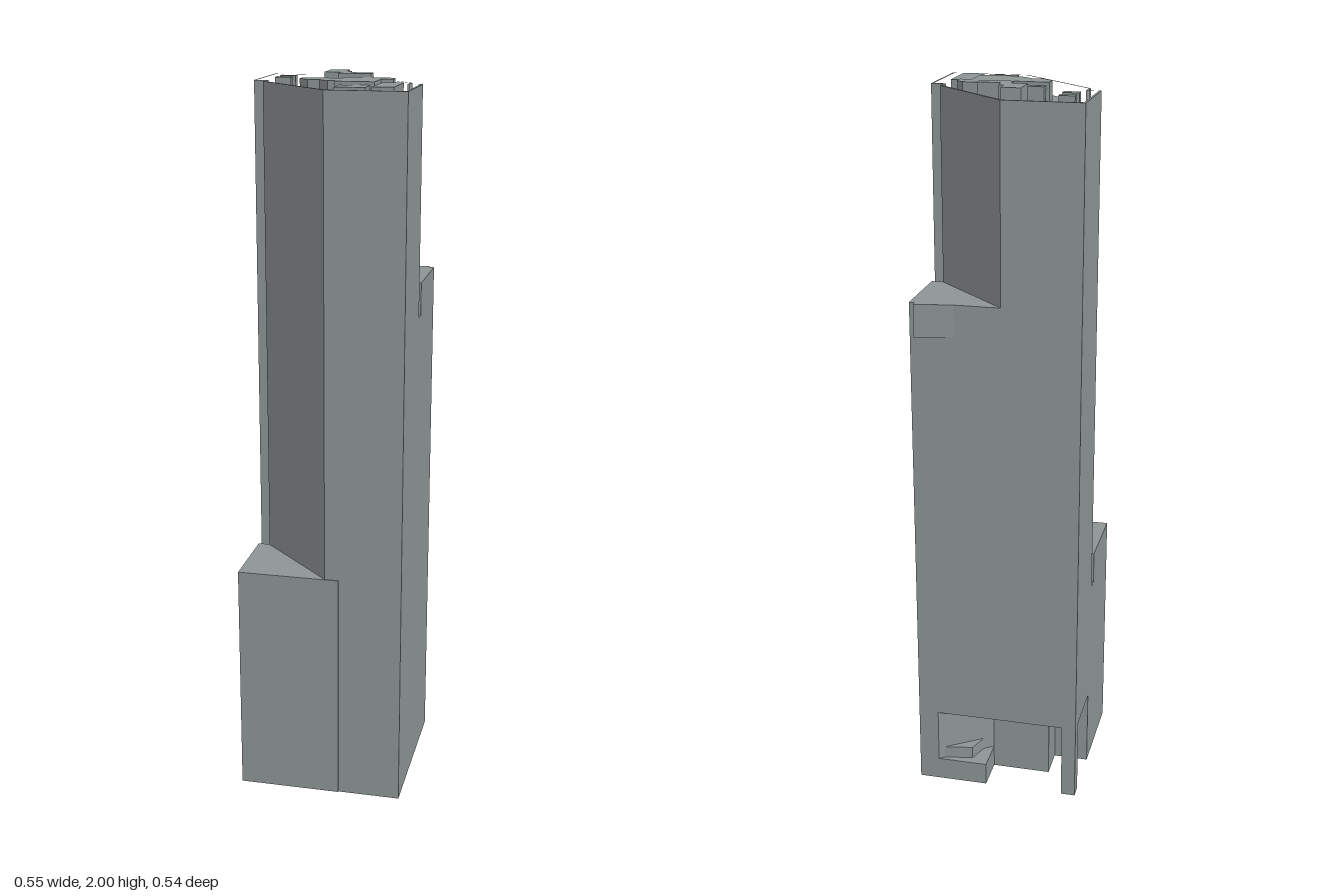
import * as THREE from 'three';

const H = 0.231; // half width of the square plan
const concrete = new THREE.MeshStandardMaterial({ color: 0x8e9595 });
concrete.name = 'grey concrete';

// Vertical prism over a plan outline of [x, z] points
function prism(name, pts, y0, y1, hole) {
  const toV = (p) => p.map(([x, z]) => new THREE.Vector2(x, -z));
  const shape = new THREE.Shape(toV(pts));
  if (hole) shape.holes.push(new THREE.Path(toV(hole)));
  const geo = new THREE.ExtrudeGeometry(shape, { depth: y1 - y0, bevelEnabled: false });
  geo.rotateX(-Math.PI / 2).translate(0, y0, 0);
  const mesh = new THREE.Mesh(geo, concrete);
  mesh.name = name;
  return mesh;
}

const rect = (x0, x1, z0, z1) => [[x0, z0], [x1, z0], [x1, z1], [x0, z1]];

// Plan outline: two whole corners, and two that may be notched or cut away
const ring = (backRight, frontLeft, h = H) => [
  [-h, -h], ...backRight, [h, h], ...frontLeft.map(([x, z]) => [-x, -z]),
];
const whole = [[H, -H]];
const notched = [[H, -H], [H, -0.015], [0.198, -0.015], [0.198, 0.015], [H, 0.015]];
const cut = [[-0.016, -H], [0.198, -0.017], [0.198, 0.015], [H, 0.015]];
const cutInner = [[-0.0185, -0.225], [0.192, -0.0145], [0.192, 0.021], [0.225, 0.021]];

export function createModel() {
  const model = new THREE.Group();
  model.name = 'tower';

  // Everything square to the plan, turned a little on the site
  const body = new THREE.Group();
  body.name = 'body';
  body.rotation.y = -0.2008;
  model.add(body);

  // Ground floors with the open entrance at the back corner
  body.add(prism('base', [
    [0.175, -H], [H, -H], [H, H], [-H, H], [-H, -0.04],
    [-0.133, -0.04], [-0.133, -0.131], [0.033, -0.131],
  ], 0, 0.22));
  body.add(prism('cornerColumn', rect(-H, -0.191, -H, -0.191), 0, 0.22));
  body.add(prism('entranceStep', [[0.175, -H], [0.033, -H], [0.033, -0.131]], 0, 0.065));
  body.add(prism('upperStep', [[0.16, -0.22], [0.08, -0.205], [0.06, -0.15]], 0.065, 0.1));

  // Shaft, losing one corner at each setback
  body.add(prism('lowerShaft', ring(whole, whole), 0.22, 0.57));
  body.add(prism('lowerSetback', ring(whole, notched), 0.57, 0.66));
  body.add(prism('middleShaft', ring(whole, cut), 0.66, 1.36));
  body.add(prism('upperSetback', ring(notched, cut), 1.36, 1.45));
  body.add(prism('upperShaft', ring(cut, cut), 1.45, 1.94));
  body.add(prism('parapet', ring(cut, cut), 1.94, 1.98, ring(cutInner, cutInner, 0.225)));

  // Slight projections on the front and back walls
  body.add(prism('frontPanel', rect(-H, 0.055, H - 0.002, H + 0.003), 0, 0.66));
  body.add(prism('backFin', [[0.105, -H + 0.001], [0.215, -0.248], [0.216, -H + 0.001]], 1.36, 1.45));

  // Rooftop plant rooms: outline and top height
  const rooms = [
    [1.984, [[-0.155, -0.185], [-0.113, -0.178], [-0.117, -0.153], [-0.16, -0.16]]],
    [1.984, [[-0.166, -0.134], [-0.122, -0.126], [-0.127, -0.101], [-0.17, -0.109]]],
    [2.0, [[-0.02, -0.163], [0.032, -0.155], [0.025, -0.112], [0.038, -0.107], [0.034, -0.07],
      [0.096, -0.057], [0.089, -0.02], [0.001, -0.036], [0.008, -0.075], [-0.035, -0.083]]],
    [1.984, [[-0.076, -0.027], [0.012, -0.01], [0.008, 0.01], [-0.08, -0.007]]],
    [1.992, [[0.022, -0.018], [0.137, 0.004], [0.153, 0.027], [0.147, 0.06], [0.115, 0.055],
      [0.098, 0.138], [-0.004, 0.118], [-0.003, 0.106], [-0.023, 0.102], [-0.044, 0.073],
      [-0.075, 0.066], [-0.097, 0.035], [-0.09, 0], [0.014, 0.021]]],
    [1.984, [[0.007, 0.13], [0.086, 0.145], [0.074, 0.212], [-0.005, 0.195]]],
    [1.986, [[0.12, 0.078], [0.173, 0.09], [0.146, 0.224], [0.09, 0.213]]],
  ];
  rooms.forEach(([top, pts], i) => model.add(prism(`plantRoom${i + 1}`, pts, 1.94, top)));

  return model;
}
